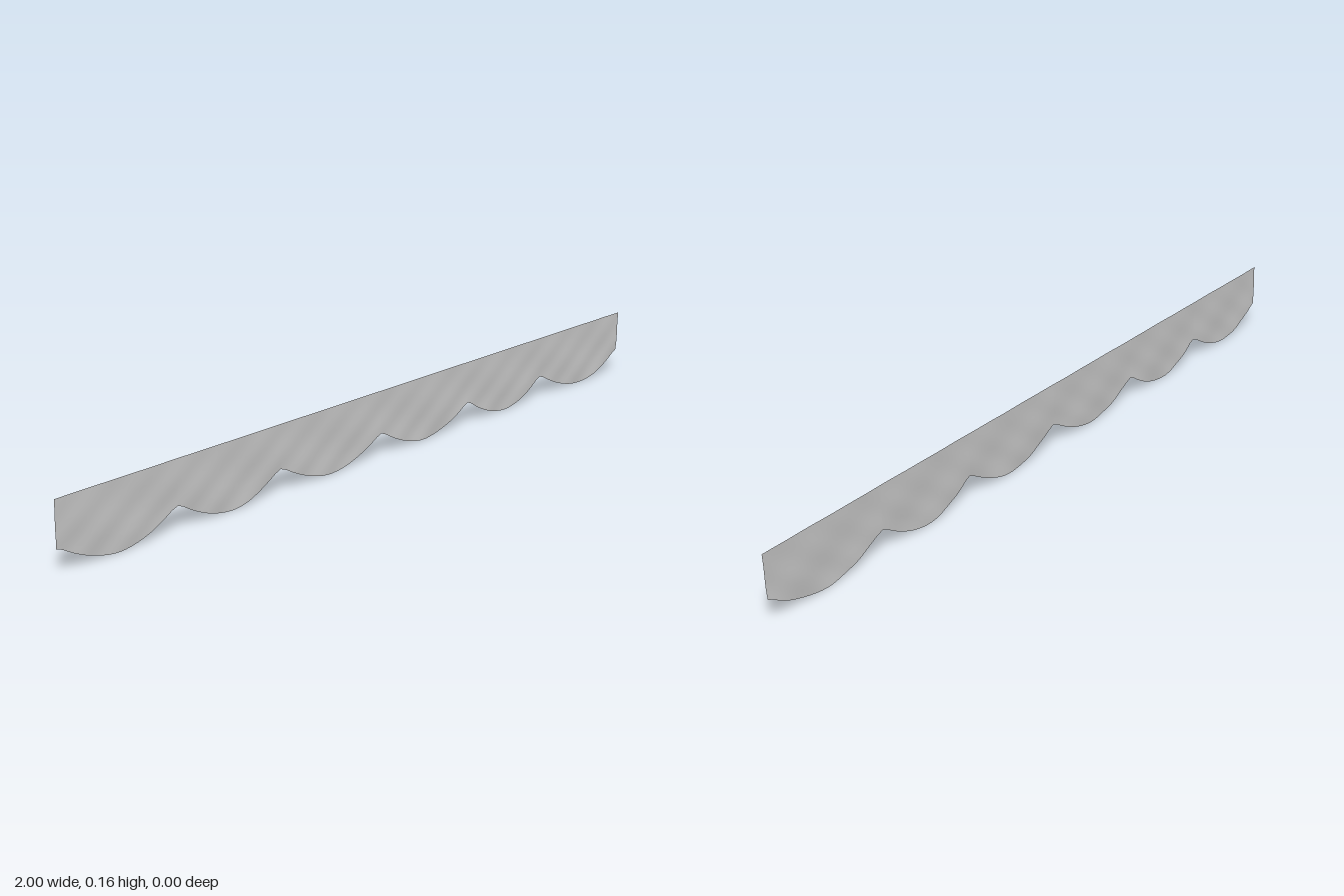
import * as THREE from 'three';

// Scallop boundaries along the lower edge
const cusps = [-1, -0.67, -0.355, -0.01, 0.325, 0.635, 1];
const TOP = 0.158, STEPS = 20, ROWS = 8;

// Height of the lower edge at position t (-1..1) across one scallop, with blunt tips
const hem = t => Math.min(0.054, 0.058 * Math.pow(Math.abs(t), 1.85));

// Faint cloth unevenness, fading out toward the straight top edge
const ripple = (x, y) => {
  const loose = 1 - 0.7 * y / TOP;
  return 0.001 + loose * (0.0011 * Math.sin(23 * x + 40 * y) + 0.0009 * Math.sin(51 * x - 75 * y + 1));
};

// One cloth panel from its straight top down to its curved hem
function scallop(x0, x1) {
  const geo = new THREE.PlaneGeometry(1, 1, STEPS, ROWS);
  const p = geo.attributes.position;
  for (let i = 0; i < p.count; i++) {
    const u = p.getX(i) + 0.5, v = p.getY(i) + 0.5;
    let x = x0 + (x1 - x0) * u;
    const low = hem(2 * u - 1);
    const y = low + (TOP - low) * v;
    if (x > 0.95) x -= 0.008 * (1 - v) * (x - 0.95) / 0.05; // right end leans in slightly
    p.setXYZ(i, x, y, ripple(x, y));
  }
  geo.computeVertexNormals();
  return geo;
}

export function createModel() {
  const group = new THREE.Group();
  group.name = 'scallopedValance';
  const cloth = new THREE.MeshStandardMaterial({ color: 0xcccccc, side: THREE.DoubleSide });
  for (let i = 0; i < cusps.length - 1; i++) {
    const panel = new THREE.Mesh(scallop(cusps[i], cusps[i + 1]), cloth);
    panel.name = 'scallopPanel' + (i + 1);
    group.add(panel);
  }
  return group;
}
